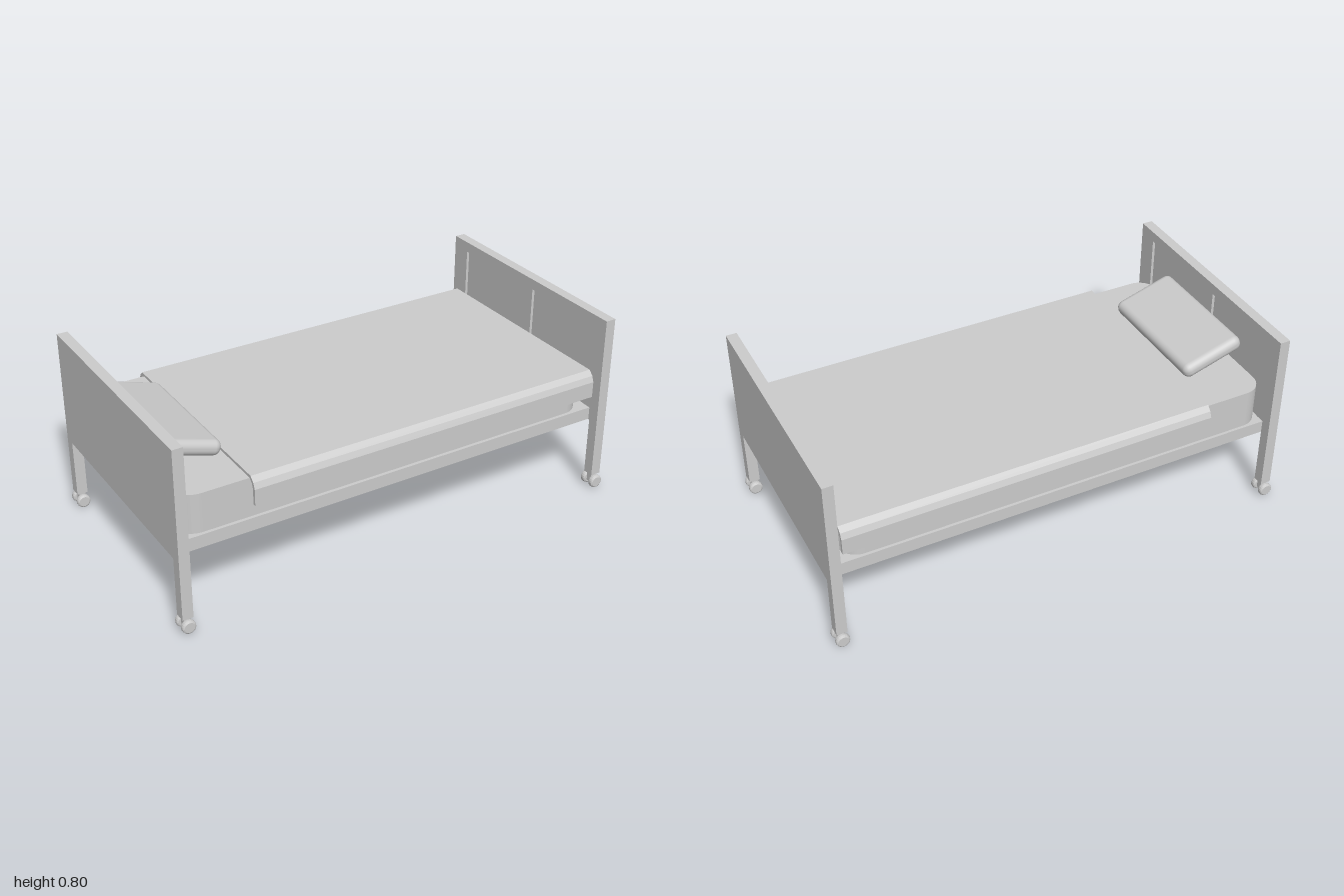
import * as THREE from 'three';
import { RoundedBoxGeometry } from 'three/addons/geometries/RoundedBoxGeometry.js';

const material = new THREE.MeshStandardMaterial({ color: 0xcccccc });
const flat = new THREE.MeshStandardMaterial({ color: 0xcccccc, flatShading: true, side: THREE.DoubleSide });

function add(parent, name, geometry, x = 0, y = 0, z = 0, mat = material) {
  const mesh = new THREE.Mesh(geometry, mat);
  mesh.name = name;
  mesh.position.set(x, y, z);
  parent.add(mesh);
  return mesh;
}

const box = (w, h, d) => new THREE.BoxGeometry(w, h, d);

// Twin-wheel caster; wheels turn about z
function createCaster() {
  const caster = new THREE.Group();
  caster.name = 'caster';
  const profile = [[0, -0.0125], [0.022, -0.0125], [0.0275, -0.009], [0.029, -0.004],
    [0.029, 0.004], [0.0275, 0.009], [0.022, 0.0125], [0, 0.0125]]
    .map(([r, h]) => new THREE.Vector2(r, h));
  const wheel = new THREE.LatheGeometry(profile, 20).rotateX(Math.PI / 2);
  for (const s of [-1, 1]) add(caster, 'wheel', wheel, 0, 0.029, s * 0.025, flat);
  add(caster, 'casterFork', box(0.024, 0.05, 0.026), 0, 0.044, 0);
  return caster;
}

// End board with two recessed panels on its inner (+x) side, legs and casters
function createEnd(name) {
  const end = new THREE.Group();
  end.name = name;
  const bottom = 0.315, top = 0.795, recess = 0.012;
  const face = new THREE.Shape([[-0.525, bottom], [0.525, bottom], [0.525, top], [-0.525, top]]
    .map(([x, y]) => new THREE.Vector2(x, y)));
  for (const [a, b] of [[-0.435, -0.045], [0.045, 0.435]]) {
    face.holes.push(new THREE.Path([[a, 0.36], [a, 0.75], [b, 0.75], [b, 0.36]]
      .map(([x, y]) => new THREE.Vector2(x, y))));
  }
  const frame = new THREE.ExtrudeGeometry(face, { depth: recess, bevelEnabled: false });
  frame.rotateY(Math.PI / 2);
  add(end, 'panelFrame', frame, 0.0225 - recess);
  add(end, 'board', box(0.045 - recess, top - bottom, 1.05), -recess / 2, (top + bottom) / 2);
  for (const s of [-1, 1]) {
    add(end, 'leg', box(0.045, bottom - 0.063, 0.047), 0, (bottom + 0.063) / 2, s * 0.5015);
    const caster = createCaster();
    caster.position.z = s * 0.5;
    end.add(caster);
  }
  return end;
}

// Mattress with rounded plan corners
function createMattress() {
  const x0 = -0.945, x1 = 0.915, z = 0.462, r = 0.085;
  const plan = new THREE.Shape();
  plan.absarc(x1 - r, z - r, r, 0, Math.PI / 2);
  plan.absarc(x0 + r, z - r, r, Math.PI / 2, Math.PI);
  plan.absarc(x0 + r, -z + r, r, Math.PI, Math.PI * 1.5);
  plan.absarc(x1 - r, -z + r, r, Math.PI * 1.5, Math.PI * 2);
  return new THREE.ExtrudeGeometry(plan, { depth: 0.17, bevelEnabled: false, curveSegments: 8 })
    .rotateX(-Math.PI / 2);
}

// Blanket: a thin folded cross-section swept along the bed
function createBlanket() {
  const outer = [[0.502, 0.44], [0.502, 0.51], [0.492, 0.535], [0.472, 0.555]];
  const inner = [[0.464, 0.543], [0.48, 0.528], [0.488, 0.507], [0.488, 0.44]];
  const flip = (list) => list.map(([z, y]) => [-z, y]).reverse();
  const section = [...outer, ...flip(outer), ...flip(inner), ...inner];
  const shape = new THREE.Shape(section.map(([z, y]) => new THREE.Vector2(z, y)));
  return new THREE.ExtrudeGeometry(shape, { depth: 1.595, bevelEnabled: false })
    .rotateY(Math.PI / 2);
}

export function createModel() {
  const bed = new THREE.Group();
  bed.name = 'bed';

  const head = createEnd('headboard');
  head.position.x = -0.971;
  const foot = createEnd('footboard');
  foot.position.x = 0.971;
  foot.rotation.y = Math.PI;
  bed.add(head, foot);

  add(bed, 'bedBase', box(1.9, 0.055, 0.95), 0, 0.3445, -0.003);
  add(bed, 'mattress', createMattress(), 0, 0.37, -0.004);
  add(bed, 'blanket', createBlanket(), -0.663, 0, -0.003, flat);

  // Pillow leaning up towards the headboard
  const pillow = add(bed, 'pillow', new RoundedBoxGeometry(0.28, 0.066, 0.57, 3, 0.03), -0.81, 0.613, -0.005);
  pillow.rotation.z = -0.3;

  return bed;
}
